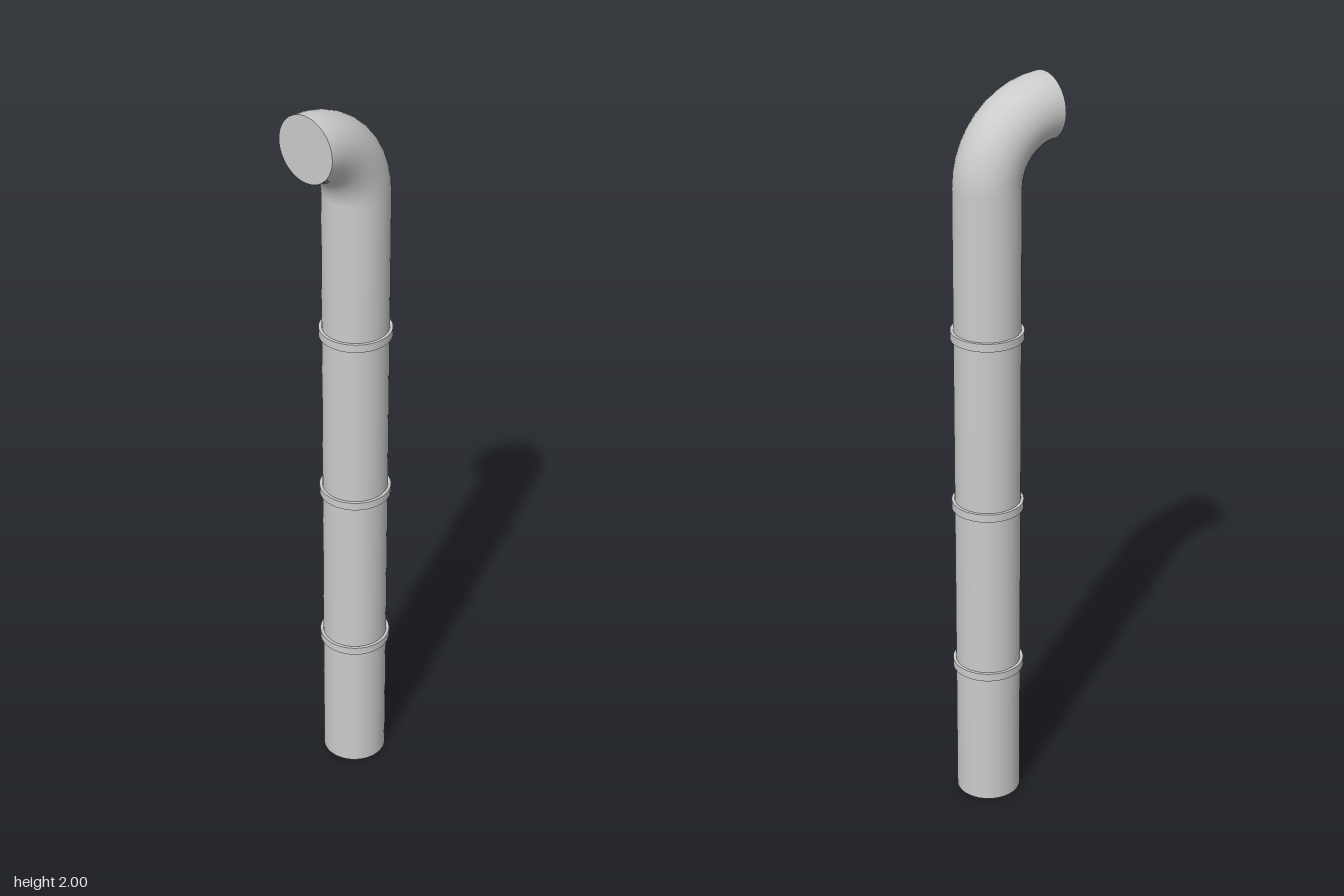
import * as THREE from 'three';
import { mergeGeometries } from 'three/addons/utils/BufferGeometryUtils.js';

const SIDES = 40;
const PIPE_R = 0.086, BAND_R = 0.094, BAND_H = 0.022;
const AXIS_Z = -0.041;            // centre line of the upright pipe
const BEND_R = 0.175;             // centre-line radius of the elbow
const BEND_Y = 2 - PIPE_R - BEND_R;

export function createModel() {
  const group = new THREE.Group();
  const material = new THREE.MeshStandardMaterial({ color: 0xcccccc });
  const add = (name, geometry, y, z) => {
    const mesh = new THREE.Mesh(geometry, material);
    mesh.name = name;
    mesh.position.set(0, y, z);
    group.add(mesh);
  };

  // Upright pipe and its closed foot
  add('uprightPipe', new THREE.CylinderGeometry(PIPE_R, PIPE_R, BEND_Y, SIDES, 1, true), BEND_Y / 2, AXIS_Z);
  add('bottomCap', new THREE.CircleGeometry(PIPE_R, SIDES).rotateX(Math.PI / 2), 0, AXIS_Z);

  // Quarter-turn elbow towards the front, closed by a flat disc
  const mouthZ = AXIS_Z + BEND_R;
  add('elbow', new THREE.TorusGeometry(BEND_R, PIPE_R, SIDES, 10, Math.PI / 2).rotateY(Math.PI / 2), BEND_Y, mouthZ);
  add('mouthCap', new THREE.CircleGeometry(PIPE_R, SIDES), BEND_Y + BEND_R, mouthZ);

  // Thin raised bands: outer wall plus a flat rim above and below
  const rim = (side) => new THREE.RingGeometry(PIPE_R - 0.002, BAND_R, SIDES)
    .rotateX(-side * Math.PI / 2)
    .translate(0, side * BAND_H / 2, 0);
  const band = mergeGeometries([
    new THREE.CylinderGeometry(BAND_R, BAND_R, BAND_H, SIDES, 1, true), rim(1), rim(-1),
  ]);
  [0.395, 0.875, 1.353].forEach((y, i) => add(`jointBand${i + 1}`, band, y, AXIS_Z));

  return group;
}
